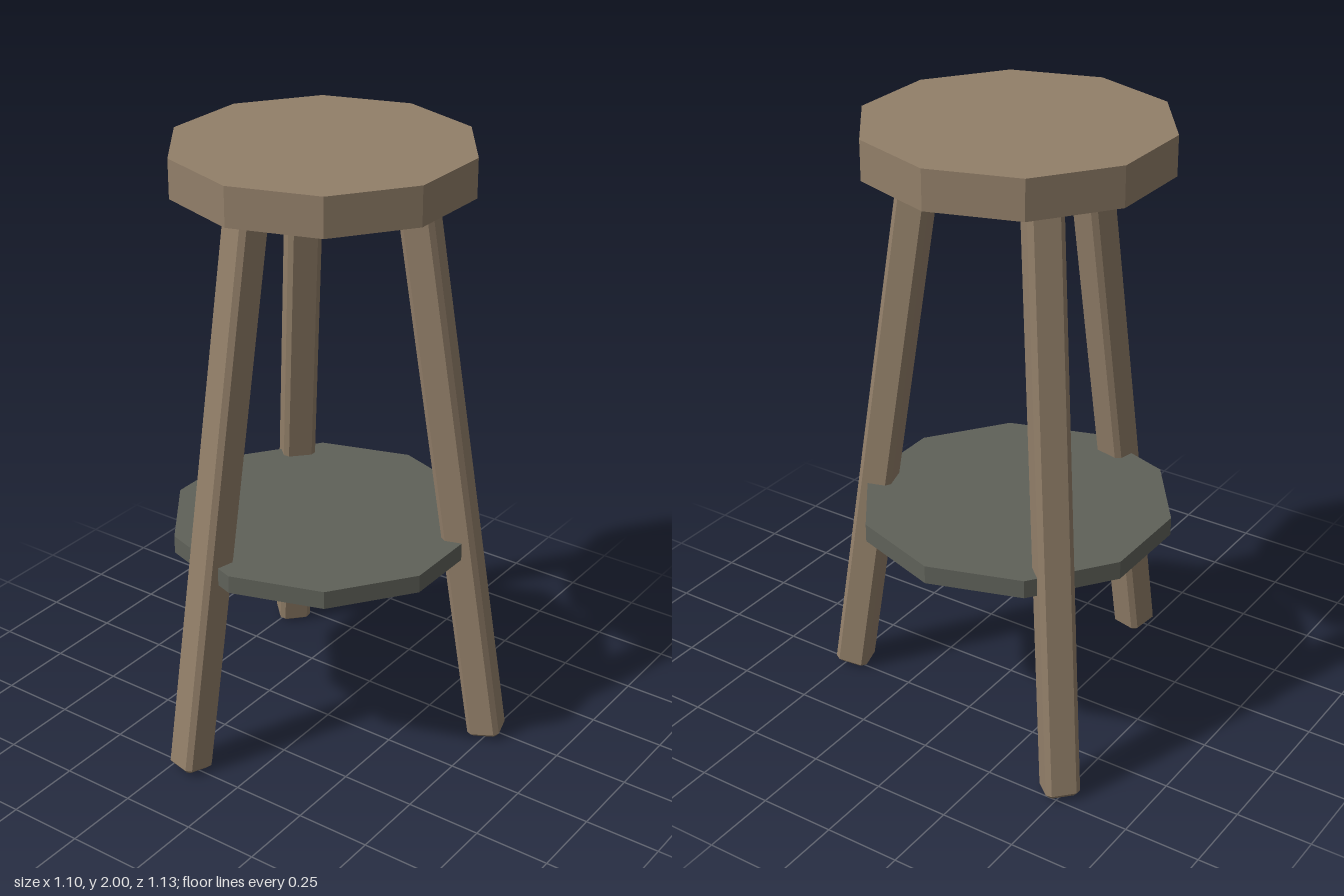
import * as THREE from 'three';

const AXIS = -0.065; // x and z of the stool's vertical axis

// Ten-sided disc with crisp facets
function disc(name, radius, bottom, top, material) {
  const geometry = new THREE.CylinderGeometry(radius, radius, top - bottom, 10).toNonIndexed();
  geometry.computeVertexNormals();
  const mesh = new THREE.Mesh(geometry, material);
  mesh.name = name;
  mesh.position.y = (bottom + top) / 2;
  return mesh;
}

// Square bar along y, centred, with every edge chamfered
function chamferedBar(width, length, c) {
  const h = width / 2 - c; // half width before the bevel grows it
  const k = h - c * 0.6;
  const shape = new THREE.Shape([
    [h, -k], [h, k], [k, h], [-k, h], [-h, k], [-h, -k], [-k, -h], [k, -h],
  ].map(([x, y]) => new THREE.Vector2(x, y)));
  const geometry = new THREE.ExtrudeGeometry(shape, {
    depth: length - 2 * c, bevelEnabled: true, bevelSize: c, bevelThickness: c, bevelSegments: 1,
  });
  geometry.translate(0, 0, c - length / 2);
  geometry.rotateX(-Math.PI / 2);
  return geometry;
}

export function createModel() {
  const wood = new THREE.MeshStandardMaterial({ color: 0x927f69 });
  wood.name = 'wood';
  const metal = new THREE.MeshStandardMaterial({ color: 0x5f6159 });
  metal.name = 'dark grey';

  const stool = new THREE.Group();
  stool.name = 'stool';
  const body = new THREE.Group();
  body.name = 'body';
  body.position.set(AXIS, 0, AXIS);
  stool.add(body);

  body.add(disc('seat', 0.477, 1.875, 2, wood));
  body.add(disc('footShelf', 0.503, 0.68, 0.74, metal));

  // Three splayed legs, leaning in towards the seat
  const foot = { r: 0.578, y: 0.008 };
  const head = { r: 0.297, y: 1.865 };
  const run = foot.r - head.r;
  const rise = head.y - foot.y;
  const legGeometry = chamferedBar(0.11, Math.hypot(run, rise), 0.013);
  ['leftLeg', 'frontLeg', 'backRightLeg'].forEach((name, i) => {
    const pivot = new THREE.Group();
    pivot.name = name;
    pivot.rotation.y = THREE.MathUtils.degToRad(17 - i * 120);
    const leg = new THREE.Mesh(legGeometry, wood);
    leg.name = name + 'Bar';
    leg.position.set((foot.r + head.r) / 2, (foot.y + head.y) / 2, 0);
    leg.rotation.z = Math.atan2(run, rise);
    pivot.add(leg);
    body.add(pivot);
  });

  return stool;
}
